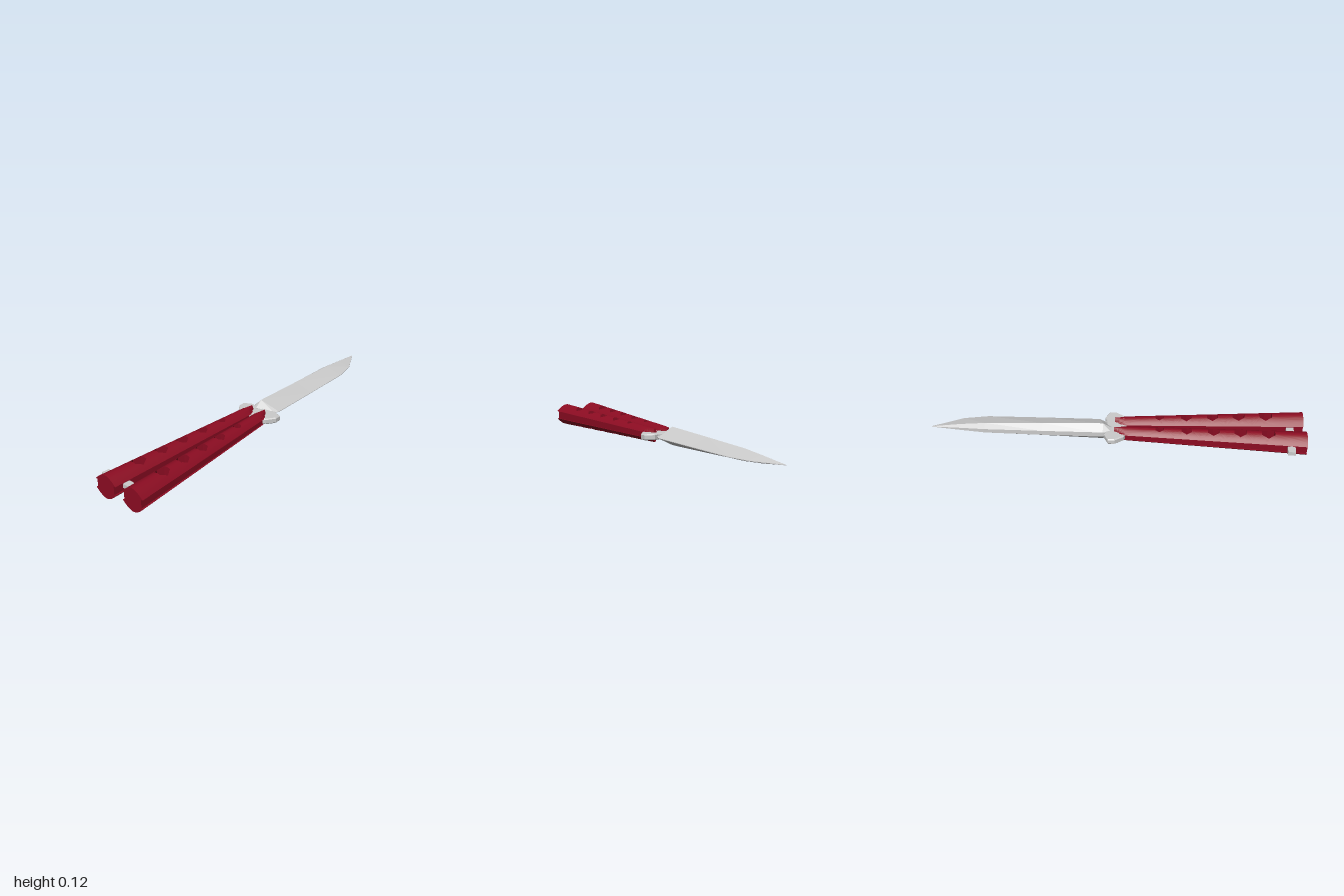
import * as THREE from 'three';
import { toCreasedNormals } from 'three/addons/utils/BufferGeometryUtils.js';

const MID = 0.065; // height of the central plane
const steel = new THREE.MeshStandardMaterial({ color: 0xcccccc });
const flatSteel = new THREE.MeshStandardMaterial({ color: 0xcccccc, flatShading: true });
const red = new THREE.MeshStandardMaterial({ color: 0x8c0c22 });

// Collects quads (corners counter-clockwise from outside) into a geometry
function quadBuilder() {
  const pos = [];
  return {
    quad(a, b, c, d, flip = false) {
      const q = flip ? [a, d, c, b] : [a, b, c, d];
      for (const i of [0, 1, 2, 0, 2, 3]) pos.push(...q[i]);
    },
    build() {
      const g = new THREE.BufferGeometry();
      g.setAttribute('position', new THREE.Float32BufferAttribute(pos, 3));
      g.computeVertexNormals();
      return g;
    },
  };
}

// Handle proportions along z
const START = -0.015, END = 0.995, INSET = 5 / 6;
const centre = (z) => -0.03 - 0.045 * z;
const halfWidth = (z) => {
  const t = Math.max(0, (0.035 - z) / 0.052);
  return (0.038 + 0.027 * z) * Math.sqrt(Math.max(0.06, 1 - t * t));
};
const halfHeight = (z) => 0.037 + 0.0255 * z;
const lip = (z) => 0.37 * halfHeight(z);
const crown = (s, z) => halfHeight(z) * (1 - 0.63 * Math.pow(Math.abs(s), 1.8));
const at = (s, z, y) => [centre(z) + s * halfWidth(z), MID + y, z];

// Crowned bar pierced by six-sided holes, grooved along both sides
function handleGeometry() {
  const { quad, build } = quadBuilder();
  const N = 24, RINGS = 4;
  const edges = [START, 0.3, 0.44, 0.58, 0.72, END];
  const holes = [[0.225, 0.022], [0.37, 0.029], [0.51, 0.031], [0.65, 0.033], [0.795, 0.036]];

  holes.forEach(([hz, r], cell) => {
    const z0 = edges[cell], z1 = edges[cell + 1];
    // point on ring k (0 = hole rim, RINGS = cell border)
    const ring = (k, j) => {
      const side = Math.floor(j / N) % 4, f = (j % N) / N;
      const [u, v] = [[1, 2 * f - 1], [1 - 2 * f, 1], [-1, 1 - 2 * f], [2 * f - 1, -1]][side];
      const a = Math.atan2(v, u);
      const sector = ((a + 2 * Math.PI) % (Math.PI / 3)) - Math.PI / 6;
      const rad = r * Math.cos(Math.PI / 6) / Math.cos(sector);
      const holeZ = hz + rad * Math.sin(a) * 1.1;
      const holeS = rad * Math.cos(a) / halfWidth(holeZ);
      const t = k / RINGS;
      return [holeS + (u - holeS) * t, holeZ + (z0 + (z1 - z0) * (v + 1) / 2 - holeZ) * t];
    };
    const top = (k, j) => { const [s, z] = ring(k, j); return at(s, z, crown(s, z)); };
    const bottom = (k, j) => { const [s, z] = ring(k, j); return at(s, z, -crown(s, z)); };
    for (let j = 0; j < 4 * N; j++) {
      for (let k = 0; k < RINGS; k++) {
        quad(top(k, j), top(k, j + 1), top(k + 1, j + 1), top(k + 1, j));
        quad(bottom(k, j), bottom(k, j + 1), bottom(k + 1, j + 1), bottom(k + 1, j), true);
      }
      quad(bottom(0, j), bottom(0, j + 1), top(0, j + 1), top(0, j));
    }
    // side grooves
    for (const side of [-1, 1]) for (let i = 0; i < N; i++) {
      const za = z0 + (z1 - z0) * i / N, zb = z0 + (z1 - z0) * (i + 1) / N;
      const profile = (z) => [[1, 1], [INSET, 1], [INSET, -1], [1, -1]]
        .map(([s, y]) => at(side * s, z, y * lip(z)));
      const a = profile(za), b = profile(zb);
      for (let k = 0; k < 3; k++) quad(a[k], a[k + 1], b[k + 1], b[k], side > 0);
    }
  });

  // end caps
  for (const z of [START, END]) for (let i = 0; i < N; i++) {
    const s0 = 2 * i / N - 1, s1 = 2 * (i + 1) / N - 1, e = lip(z), flip = z === START;
    const c0 = crown(s0, z), c1 = crown(s1, z);
    quad(at(s0, z, e), at(s1, z, e), at(s1, z, c1), at(s0, z, c0), flip);
    quad(at(s0, z, -c0), at(s1, z, -c1), at(s1, z, -e), at(s0, z, -e), flip);
    if (Math.abs(s0 + s1) / 2 < INSET) {
      quad(at(s0, z, -e), at(s1, z, -e), at(s1, z, e), at(s0, z, e), flip);
    }
  }
  return toCreasedNormals(build(), 0.6);
}

// Blade lofted through six-cornered sections
function bladeGeometry() {
  const { quad, build } = quadBuilder();
  // z, spine x, ridge x, edge x, ridge half height, spine half height
  const stations = [
    [-0.03, -0.04, -0.012, 0.07, 0.02, 0.01],
    [-0.075, -0.05, -0.015, 0.072, 0.049, 0.014],
    [-0.1, -0.05, -0.015, 0.088, 0.049, 0.014],
    [-0.4, -0.049, -0.015, 0.088, 0.04, 0.013],
    [-0.71, -0.045, -0.015, 0.086, 0.03, 0.011],
    [-0.84, -0.034, -0.015, 0.062, 0.019, 0.007],
    [-1, -0.021, -0.02, -0.018, 0.001, 0.0005],
  ];
  const sections = stations.map(([z, xs, xr, xe, h, hs]) => [
    [xs, hs], [xr, h], [xe, 0.0015], [xe, -0.0015], [xr, -h], [xs, -hs],
  ].map(([x, y]) => [x, MID + y, z]));
  for (let i = 0; i + 1 < sections.length; i++) for (let k = 0; k < 6; k++) {
    const a = sections[i], b = sections[i + 1], n = (k + 1) % 6;
    quad(a[k], a[n], b[n], b[k]);
  }
  for (const [p, flip] of [[sections[0], true], [sections[sections.length - 1], false]]) {
    quad(p[0], p[1], p[4], p[5], flip);
    quad(p[1], p[2], p[3], p[4], flip);
  }
  return build();
}

// Flat plate with a wing on each side of the blade root
function guardGeometry() {
  const half = [[0, -0.055], [0.05, -0.06], [0.075, -0.068], [0.125, -0.045], [0.125, -0.01],
    [0.092, 0.038], [0.075, 0.045], [0.05, 0.07], [0.025, 0.07], [0, 0.03]];
  const mirrored = half.slice(1, -1).reverse().map(([x, z]) => [-x, z]);
  const shape = new THREE.Shape([...half, ...mirrored].map(([x, z]) => new THREE.Vector2(x, z)));
  const g = new THREE.ExtrudeGeometry(shape, {
    depth: 0.022, bevelEnabled: true, bevelSize: 0.005, bevelThickness: 0.005, bevelOffset: -0.005, bevelSegments: 1,
  });
  return g.rotateX(Math.PI / 2).translate(0.0125, MID + 0.011, 0);
}

export function createModel() {
  const model = new THREE.Group();
  model.name = 'foldingKnife';
  const add = (name, geometry, material) => {
    const mesh = new THREE.Mesh(geometry, material);
    mesh.name = name;
    model.add(mesh);
    return mesh;
  };

  add('blade', bladeGeometry(), flatSteel);
  add('guard', guardGeometry(), flatSteel);

  // the two handles mirror each other about the blade's centre line
  const handle = handleGeometry();
  add('rightHandle', handle, red);
  const left = add('leftHandle', handle, red);
  left.scale.x = -1;
  left.position.x = 0.025;

  // latch bar crossing the handle ends
  const latch = add('latch', new THREE.BoxGeometry(0.22, 0.022, 0.04), steel);
  latch.position.set(-0.06, 0.066, 0.918);
  latch.rotation.y = -0.06;

  return model;
}
